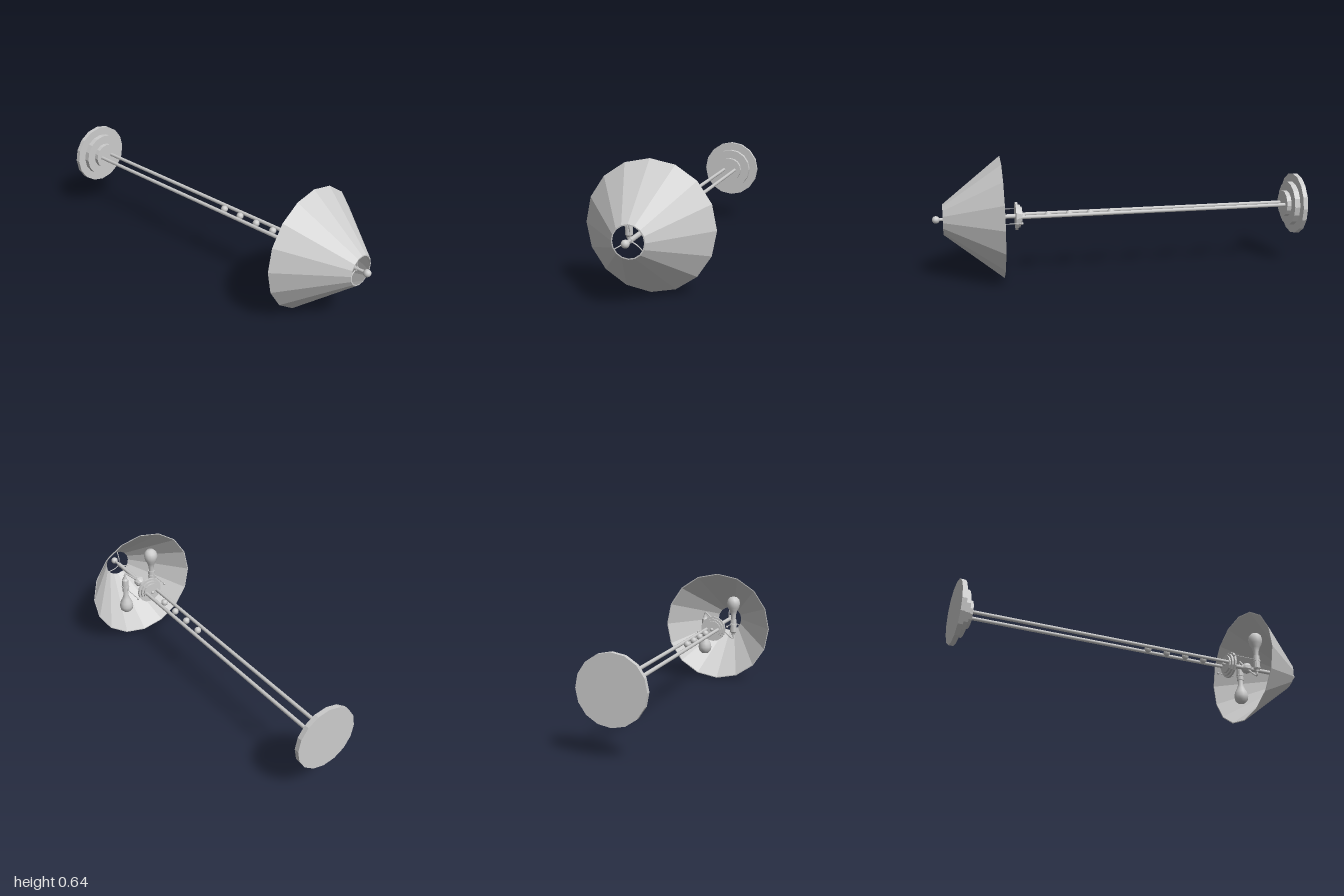
import * as THREE from 'three';

const flat = new THREE.MeshStandardMaterial({ color: 0xcccccc, flatShading: true });
const smooth = new THREE.MeshStandardMaterial({ color: 0xcccccc });
const thin = new THREE.MeshStandardMaterial({ color: 0xcccccc, flatShading: true, side: THREE.DoubleSide });

function add(parent, name, geometry, material = flat, x = 0, y = 0, z = 0) {
  const mesh = new THREE.Mesh(geometry, material);
  mesh.name = name;
  mesh.position.set(x, y, z);
  parent.add(mesh);
  return mesh;
}

// Upright cylinder between two heights
function post(parent, name, r, y0, y1, x = 0, z = 0, sides = 8) {
  return add(parent, name, new THREE.CylinderGeometry(r, r, y1 - y0, sides), sides > 8 ? flat : smooth, x, (y0 + y1) / 2, z);
}

function ball(parent, name, r, x, y, z) {
  return add(parent, name, new THREE.SphereGeometry(r, 12, 8), smooth, x, y, z);
}

function lathe(points, sides) {
  return new THREE.LatheGeometry(points.map(p => new THREE.Vector2(...p)), sides);
}

function tube(points, r) {
  const curve = new THREE.CatmullRomCurve3(points.map(p => new THREE.Vector3(...p)), false, 'catmullrom', 0.3);
  return new THREE.TubeGeometry(curve, 16, r, 6);
}

// Arm, socket, bulb and pull chain; the bulb lies sideways towards -z at x = -0.09
function makeLight() {
  const light = new THREE.Group();
  light.name = 'light';
  const x = -0.09, y = 0.69;

  add(light, 'arm', tube([[0, 0.68, 0], [-0.045, 0.682, 0.042], [-0.082, 0.688, 0.075], [-0.092, y, 0.07], [x, y, 0.045]], 0.005), smooth);

  const holder = new THREE.Group();
  holder.name = 'bulbHolder';
  holder.position.set(x, y, 0);
  holder.rotation.x = -Math.PI / 2;
  light.add(holder);
  add(holder, 'socket', lathe([
    [0, -0.055], [0.01, -0.055], [0.012, -0.045], [0.019, -0.035], [0.019, 0.005],
    [0.022, 0.005], [0.022, 0.014], [0.019, 0.014], [0.019, 0.04], [0, 0.04],
  ], 12));
  add(holder, 'bulb', lathe([
    [0.014, 0.04], [0.016, 0.07], [0.023, 0.092], [0.035, 0.115], [0.04, 0.14],
    [0.035, 0.163], [0.021, 0.177], [0, 0.182],
  ], 14), smooth);

  post(light, 'pullChain', 0.0022, 0.545, y - 0.01, x, -0.02, 6);
  ball(light, 'chainBead', 0.007, x, 0.545, -0.02);
  return light;
}

export function createModel() {
  const model = new THREE.Group();
  model.name = 'floorLamp';

  // Lamp is built upright, then laid down with its top towards +z
  const lamp = new THREE.Group();
  lamp.name = 'lamp';
  lamp.rotation.x = Math.PI / 2;
  lamp.position.y = 0.323;
  model.add(lamp);

  // Stepped base
  [[0.168, -1, -0.975], [0.122, -0.975, -0.945], [0.072, -0.945, -0.92]].forEach(([r, y0, y1]) =>
    post(lamp, 'baseStep', r, y0, y1, 0, 0, 16));

  // Twin rods with beads between them
  for (const side of [-1, 1]) post(lamp, 'rod', 0.01, -0.92, 0.545, side * 0.035);
  for (let i = 0; i < 4; i++) ball(lamp, 'bead', 0.019, 0, 0.06 + i * 0.113, 0);

  // Collar joining the rods, with a small knob below
  [[0.05, 0.538, 0.548], [0.062, 0.548, 0.56], [0.074, 0.56, 0.572]].forEach(([r, y0, y1]) =>
    post(lamp, 'collarStep', r, y0, y1, 0, 0, 16));
  ball(lamp, 'collarKnob', 0.01, 0, 0.53, 0);

  // Stem, hub and finial
  post(lamp, 'stem', 0.012, 0.57, 0.925);
  add(lamp, 'hub', lathe([[0.012, 0.65], [0.024, 0.66], [0.031, 0.675], [0.031, 0.688], [0.022, 0.7], [0.012, 0.708]], 10));
  post(lamp, 'finialStem', 0.008, 0.92, 0.97);
  ball(lamp, 'finial', 0.02, 0, 0.98, 0);

  // Two lights, each a half turn from the other
  for (let i = 0; i < 2; i++) {
    const light = makeLight();
    light.rotation.y = i * Math.PI;
    lamp.add(light);
  }

  // Faceted shade with a thin wall
  add(lamp, 'shade', lathe([[0.074, 0.945], [0.317, 0.645], [0.322, 0.645], [0.08, 0.945], [0.074, 0.945]].reverse(), 16), thin);

  // Spokes holding the shade at the stem
  for (let i = 0; i < 3; i++) {
    const a = Math.PI / 2 + (i * Math.PI * 2) / 3;
    const c = Math.cos(a), s = -Math.sin(a);
    add(lamp, 'shadeSpoke', tube([[0, 0.92, 0], [c * 0.04, 0.92, s * 0.04], [c * 0.079, 0.938, s * 0.079]], 0.003), smooth);
  }

  return model;
}
